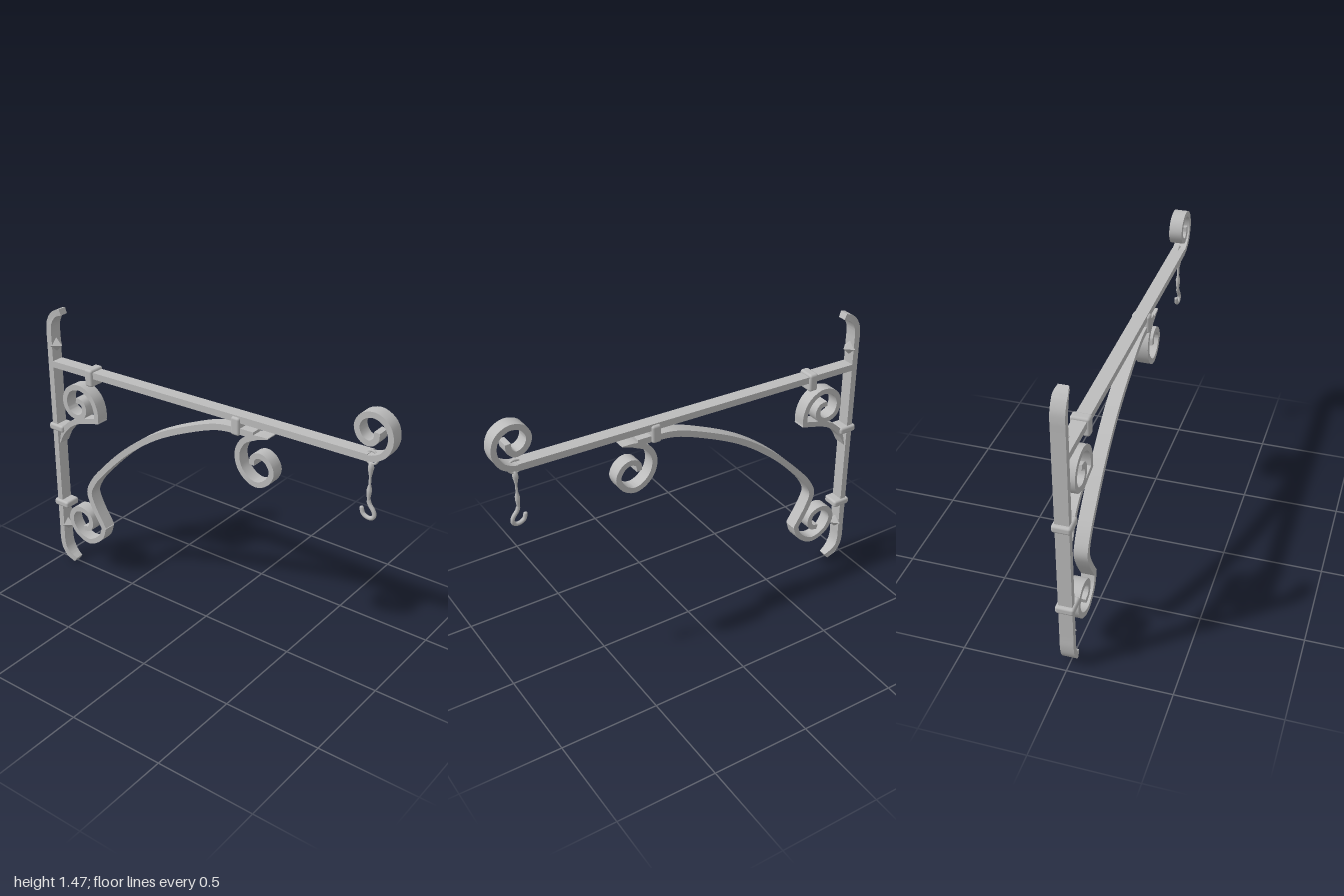
import * as THREE from 'three';
import { toCreasedNormals } from 'three/addons/utils/BufferGeometryUtils.js';
import { RoundedBoxGeometry } from 'three/addons/geometries/RoundedBoxGeometry.js';

const WIDTH = 0.066;

// Flat iron bar following a [z, y] path; startTaper draws its first part out to a point.
function barGeometry(path, half = 0.014, startTaper = 0) {
  const curve = new THREE.CatmullRomCurve3(path.map(([z, y]) => new THREE.Vector3(z, y, 0)));
  const steps = (path.length - 1) * 5;
  const left = [], right = [];
  for (let i = 0; i <= steps; i++) {
    const t = i / steps;
    const p = curve.getPoint(t), d = curve.getTangent(t);
    const h = startTaper ? half * Math.min(1, 0.15 + t / startTaper) : half;
    left.push(new THREE.Vector2(p.x - d.y * h, p.y + d.x * h));
    right.unshift(new THREE.Vector2(p.x + d.y * h, p.y - d.x * h));
  }
  const g = new THREE.ExtrudeGeometry(new THREE.Shape([...left, ...right]), { depth: WIDTH, bevelEnabled: false });
  g.translate(0, 0, -WIDTH / 2).rotateY(-Math.PI / 2);
  return g;
}

export function createModel() {
  const model = new THREE.Group();
  model.name = 'wallBracket';
  const iron = new THREE.MeshStandardMaterial({ color: 0xbcbcbc });
  iron.name = 'grey iron';

  const add = (name, geometry, x = 0, y = 0, z = 0) => {
    const mesh = new THREE.Mesh(geometry, iron);
    mesh.name = name;
    mesh.position.set(x, y, z);
    model.add(mesh);
    return mesh;
  };
  const bar = (name, path, half, taper) => add(name, toCreasedNormals(barGeometry(path, half, taper), 0.6));

  // Wall bar with curled, narrowed ends
  const wall = barGeometry([
    [-0.892, 1.463], [-0.93, 1.447], [-0.96, 1.401], [-0.967, 1.358], [-0.967, 1.3],
    [-0.967, 0.2], [-0.967, 0.131], [-0.957, 0.083], [-0.93, 0.046], [-0.89, 0.019],
  ], 0.016);
  const pos = wall.attributes.position;
  for (let i = 0; i < pos.count; i++) {
    const k = THREE.MathUtils.clamp((pos.getZ(i) + 0.94) / 0.05, 0, 1);
    pos.setX(i, pos.getX(i) * (1 - 0.35 * k));
  }
  wall.computeVertexNormals();
  add('wallBar', toCreasedNormals(wall, 0.6));

  // Top arm and its curled tip
  bar('arm', [[-0.967, 1.175], [0.88, 1.216]], 0.017);
  bar('armScroll', [
    [0.86, 1.215], [0.903, 1.219], [0.957, 1.249], [0.986, 1.316], [0.967, 1.385], [0.906, 1.42],
    [0.844, 1.401], [0.82, 1.35], [0.844, 1.3], [0.887, 1.286], [0.916, 1.31], [0.919, 1.345],
  ]);

  // Arched brace with a scroll at each end
  bar('arch', [
    [0.292, 1.144], [0.196, 1.141], [0.088, 1.128], [-0.072, 1.069], [-0.287, 0.962], [-0.474, 0.825],
    [-0.635, 0.667], [-0.715, 0.571], [-0.748, 0.496], [-0.726, 0.426], [-0.655, 0.306],
  ], 0.016);
  bar('archFrontScroll', [
    [0.372, 1.15], [0.303, 1.136], [0.238, 1.101], [0.204, 1.032], [0.22, 0.957], [0.271, 0.908], [0.319, 0.898],
    [0.372, 0.927], [0.397, 0.983], [0.372, 1.032], [0.33, 1.05], [0.292, 1.032], [0.287, 0.994],
  ], 0.014, 0.12);
  bar('archBackScroll', [
    [-0.656, 0.313], [-0.683, 0.244], [-0.769, 0.19], [-0.855, 0.222], [-0.89, 0.292], [-0.865, 0.351],
    [-0.817, 0.37], [-0.764, 0.351], [-0.748, 0.308], [-0.764, 0.271], [-0.801, 0.26],
  ]);

  // Small corner brace and scroll
  bar('cornerBrace', [
    [-0.941, 0.731], [-0.914, 0.801], [-0.876, 0.849], [-0.812, 0.892], [-0.663, 0.936],
  ], 0.014, 0.4);
  bar('cornerScroll', [
    [-0.674, 0.932], [-0.675, 0.983], [-0.699, 1.042], [-0.742, 1.077], [-0.79, 1.088], [-0.855, 1.061], [-0.884, 1.0],
    [-0.865, 0.941], [-0.812, 0.919], [-0.769, 0.935], [-0.753, 0.973], [-0.769, 1.007], [-0.807, 1.015],
  ]);

  // Clamps around the arm and the wall bar
  for (const z of [0.195, -0.705]) add('armClamp', new RoundedBoxGeometry(0.09, 0.092, 0.048, 2, 0.012), 0, 1.165, z);
  for (const y of [0.82, 0.365]) add('wallClamp', new RoundedBoxGeometry(0.09, 0.038, 0.096, 2, 0.012), 0, y, -0.952);

  // Diamond studs on the wall bar
  for (const y of [1.275, 0.225]) {
    const stud = toCreasedNormals(new THREE.ConeGeometry(0.04, 0.042, 4).rotateX(Math.PI / 2), 0.1);
    add('stud', stud, 0, y, -0.934);
  }

  // Hanging eye, twisted shank and hook
  add('hookEye', new THREE.TorusGeometry(0.031, 0.006, 8, 20).rotateY(Math.PI / 2), 0, 1.208, 0.886);
  const shank = [[0, 1.185], [0.011, 1.18], [0.014, 1.155], [0.006, 1.115], [0.006, 1.075],
    [0.012, 1.05], [0.011, 1.03], [0.007, 1.0], [0.007, 0.985], [0, 0.985]].reverse();
  add('hookShank', new THREE.LatheGeometry(shank.map(([r, y]) => new THREE.Vector2(r, y)), 10), 0, 0, 0.886);
  const hook = [[0.886, 1.0], [0.893, 0.98], [0.914, 0.952], [0.92, 0.93], [0.908, 0.914], [0.884, 0.913], [0.863, 0.926], [0.855, 0.95]];
  const hookCurve = new THREE.CatmullRomCurve3(hook.map(([z, y]) => new THREE.Vector3(0, y, z)));
  add('hook', new THREE.TubeGeometry(hookCurve, 32, 0.01, 8));
  add('hookTip', new THREE.SphereGeometry(0.01, 8, 6), 0, 0.95, 0.855);

  return model;
}
